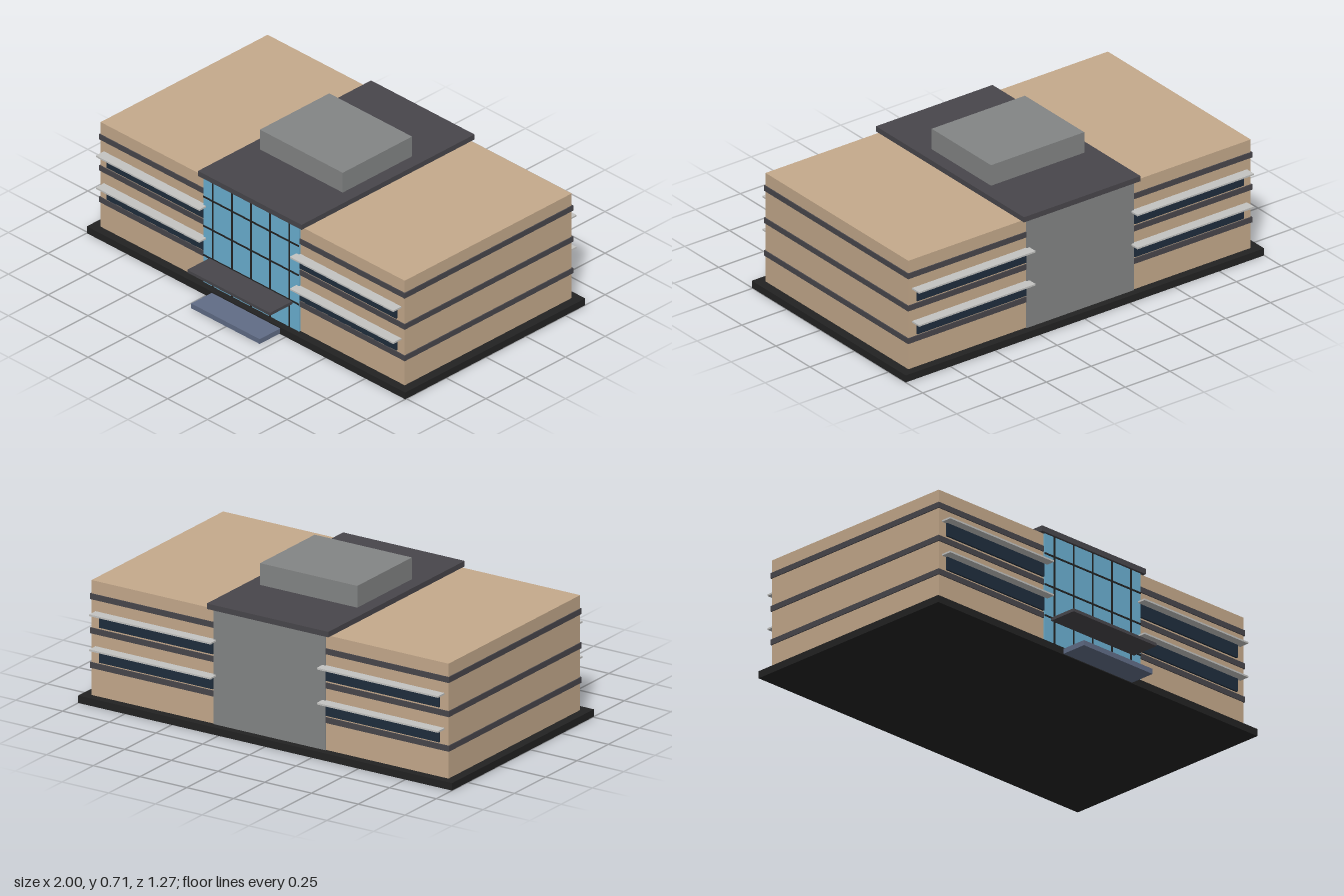
import * as THREE from 'three';

const mat = (name, color) => new THREE.MeshStandardMaterial({ name, color });

export function createModel() {
  const building = new THREE.Group();
  building.name = 'officeBuilding';

  const tan = mat('tanWall', 0xc4a98b);
  const charcoal = mat('charcoalTrim', 0x48464b);
  const black = mat('blackFrame', 0x222222);
  const navy = mat('darkWindow', 0x1f2d3d);
  const blue = mat('blueGlass', 0x6bb0d2);
  const grey = mat('greyPanel', 0x838585);
  const silver = mat('lightSunshade', 0xc3c3c1);
  const slate = mat('slateStep', 0x606c86);

  // Box given by its limits on each axis
  const box = (name, material, x0, x1, y0, y1, z0, z1) => {
    const mesh = new THREE.Mesh(new THREE.BoxGeometry(x1 - x0, y1 - y0, z1 - z0), material);
    mesh.position.set((x0 + x1) / 2, (y0 + y1) / 2, (z0 + z1) / 2);
    mesh.name = name;
    building.add(mesh);
    return mesh;
  };

  const front = 0.465, back = -0.585;

  // Plinth and entrance step
  box('plinth', black, -1, 1, 0, 0.035, -0.625, 0.507);
  box('entranceStep', slate, -0.215, 0.215, 0.004, 0.029, 0.507, 0.636);

  // Wings with floor bands wrapping the outer end
  for (const s of [-1, 1]) {
    const side = s < 0 ? 'right' : 'left';
    const part = (name, m, xa, xb, ...rest) =>
      box(side + name, m, Math.min(s * xa, s * xb), Math.max(s * xa, s * xb), ...rest);

    part('Wing', tan, 0.295, 0.955, 0.035, 0.58, back, front);
    for (const y of [0.178, 0.342, 0.504]) {
      part('FloorBand', charcoal, 0.3, 0.96, y - 0.0135, y + 0.0135, back - 0.005, front + 0.005);
    }

    // Ribbon windows and sunshades on the front and back
    for (const y of [0.2, 0.366]) {
      part('FrontWindow', navy, 0.302, 0.91, y, y + 0.063, front, front + 0.009);
      part('BackWindow', navy, 0.302, 0.91, y, y + 0.063, back - 0.009, back);
      part('FrontSunshade', silver, 0.284, 0.934, y + 0.063, y + 0.071, front, 0.516);
      part('BackSunshade', silver, 0.284, 0.934, y + 0.063, y + 0.071, -0.636, back);
    }
  }

  // Central core: glass front, plain rear panel
  box('core', grey, -0.295, 0.295, 0.035, 0.58, back, front);
  box('rearPanel', grey, -0.3, 0.3, 0.035, 0.58, back - 0.006, back);
  box('curtainWall', blue, -0.3, 0.3, 0.035, 0.578, front - 0.001, front + 0.009);

  // Mullions and transoms
  const z0 = front + 0.004, z1 = front + 0.012;
  for (const x of [-0.24, -0.12, 0, 0.12, 0.24]) {
    box('mullion', black, x - 0.004, x + 0.004, 0.035, 0.578, z0, z1);
  }
  for (const y of [0.177, 0.329, 0.481]) {
    box('transom', black, -0.3, 0.3, y - 0.004, y + 0.004, z0, z1);
  }

  // Canopy, roof slab and rooftop plant room
  box('entranceCanopy', charcoal, -0.26, 0.26, 0.162, 0.177, front, 0.616);
  box('roofSlab', charcoal, -0.325, 0.325, 0.58, 0.606, -0.605, 0.483);
  box('plantRoom', grey, -0.26, 0.26, 0.606, 0.709, -0.277, 0.159);

  return building;
}
